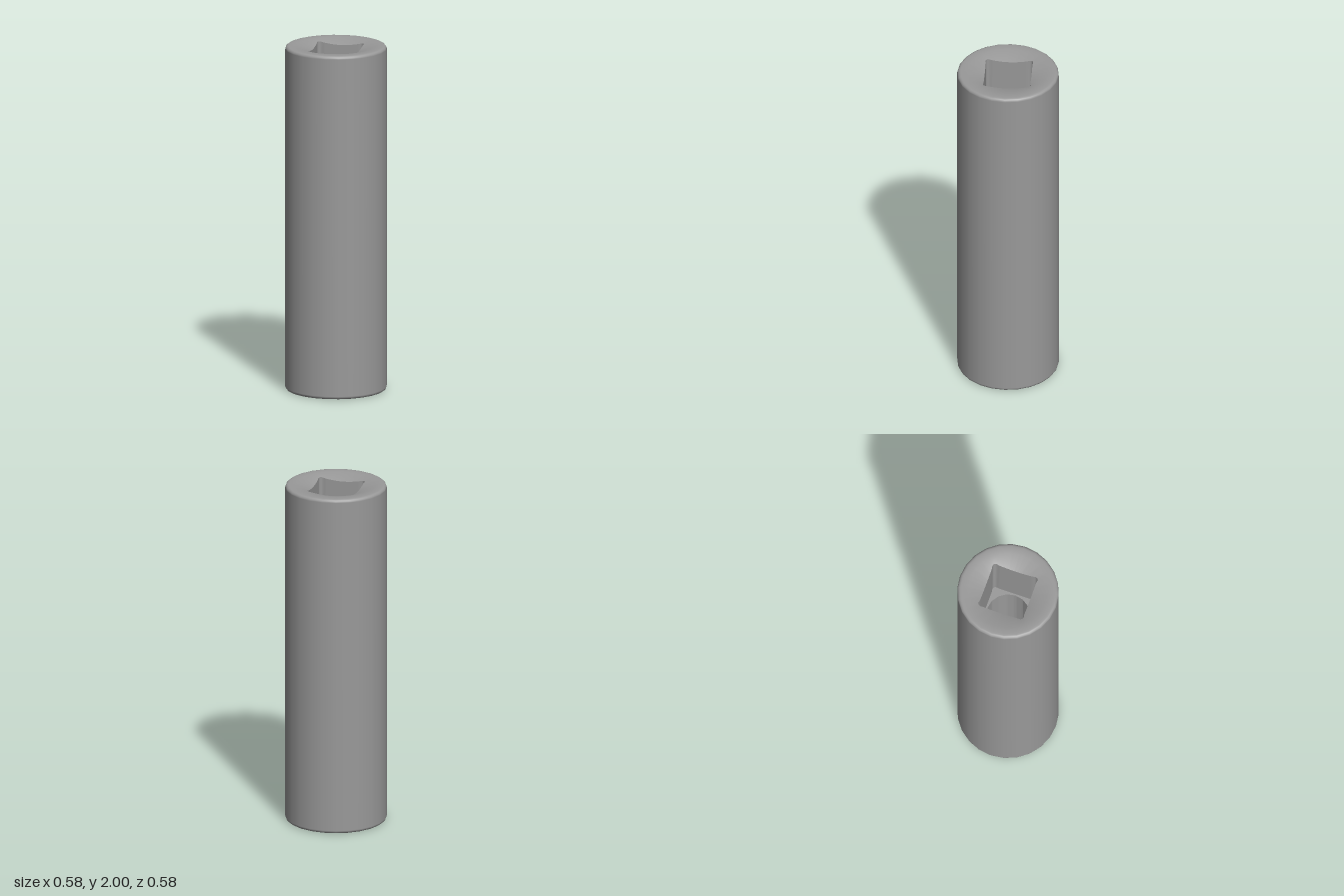
import * as THREE from 'three';
import { toCreasedNormals } from 'three/addons/utils/BufferGeometryUtils.js';

const STEPS = 144;
const SIDES = 24;
const R = 0.289, H = 2, FILLET = 0.018;
const TOP_LAND = 0.262, TOP_MOUTH = 0.225, BOTTOM_MOUTH = 0.26;

// Polar radius of a regular polygon; h = centre-to-flat distance, first corner at `phase`
function ngon(n, h, phase = 0) {
  const w = 2 * Math.PI / n;
  return t => {
    const d = ((t - phase) % w + w) % w;
    return h / Math.cos(d - w / 2);
  };
}

// Polygon whose corners are opened into small round relief grooves
function relieved(n, h, phase, c, rc) {
  const flat = ngon(n, h, phase), w = 2 * Math.PI / n;
  return t => {
    const d = t - phase - Math.round((t - phase) / w) * w;
    const s = c * Math.sin(d);
    return Math.abs(s) < rc ? c * Math.cos(d) + Math.sqrt(rc * rc - s * s) : flat(t);
  };
}

// Inner skin through rings listed from top to bottom; each has radius(t) and height(r)
function loftInside(rings) {
  const pos = [], index = [];
  rings.forEach(({ radius, height }) => {
    for (let j = 0; j < STEPS; j++) {
      const t = j / STEPS * 2 * Math.PI, r = radius(t);
      pos.push(r * Math.cos(t), height(r), r * Math.sin(t));
    }
  });
  for (let i = 0; i < rings.length - 1; i++) {
    for (let j = 0; j < STEPS; j++) {
      const k = (j + 1) % STEPS;
      const a = i * STEPS + j, b = i * STEPS + k, c = a + STEPS, d = b + STEPS;
      index.push(a, c, b, b, c, d);
    }
  }
  const geo = new THREE.BufferGeometry();
  geo.setAttribute('position', new THREE.Float32BufferAttribute(pos, 3));
  geo.setIndex(index);
  return toCreasedNormals(geo, 0.6);
}

export function createModel() {
  const group = new THREE.Group();
  group.name = 'deepSocket';
  const steel = new THREE.MeshStandardMaterial({ color: 0x999999 });
  const add = (name, geo) => {
    const mesh = new THREE.Mesh(geo, steel);
    mesh.name = name;
    group.add(mesh);
  };

  // Outer sleeve with rounded rims
  const profile = [new THREE.Vector2(BOTTOM_MOUTH, 0)];
  for (const top of [false, true]) {
    for (let i = 0; i <= 4; i++) {
      const a = (top ? i : i - 4) / 4 * Math.PI / 2;
      profile.push(new THREE.Vector2(
        R - FILLET + FILLET * Math.cos(a),
        (top ? H - FILLET : FILLET) + FILLET * Math.sin(a)));
    }
  }
  profile.push(new THREE.Vector2(TOP_LAND, H));
  add('outerSleeve', new THREE.LatheGeometry(profile, SIDES));

  const at = y => () => y;
  const rim = r => ngon(SIDES, r * Math.cos(Math.PI / SIDES));
  const square = relieved(4, 0.133, Math.PI / 4, 0.165, 0.019);
  const hex = relieved(6, 0.21, Math.PI / 6, 0.223, 0.018);
  const bore = ngon(16, 0.122);
  const driveFloor = 1.6, hexRoof = 0.6;

  // Flat end face blending into a shallow dish around the square drive
  const dish = r => H - 0.3 * (TOP_MOUTH - r);
  add('driveCountersink', loftInside([
    { radius: rim(TOP_LAND), height: at(H) },
    { radius: rim(TOP_MOUTH), height: at(H) },
    { radius: square, height: dish }]));

  // Square drive recess with its floor
  add('squareDrive', loftInside([
    { radius: square, height: dish },
    { radius: square, height: at(driveFloor) },
    { radius: bore, height: at(driveFloor) }]));

  // Round through bore
  add('throughBore', loftInside([
    { radius: bore, height: at(driveFloor) },
    { radius: bore, height: at(hexRoof) }]));

  // Hexagonal recess and its flared mouth
  const flare = r => 0.35 * (BOTTOM_MOUTH - r);
  add('hexRecess', loftInside([
    { radius: bore, height: at(hexRoof) },
    { radius: hex, height: at(hexRoof) },
    { radius: hex, height: flare }]));
  add('hexCountersink', loftInside([
    { radius: hex, height: flare },
    { radius: rim(BOTTOM_MOUTH), height: at(0) }]));

  return group;
}
